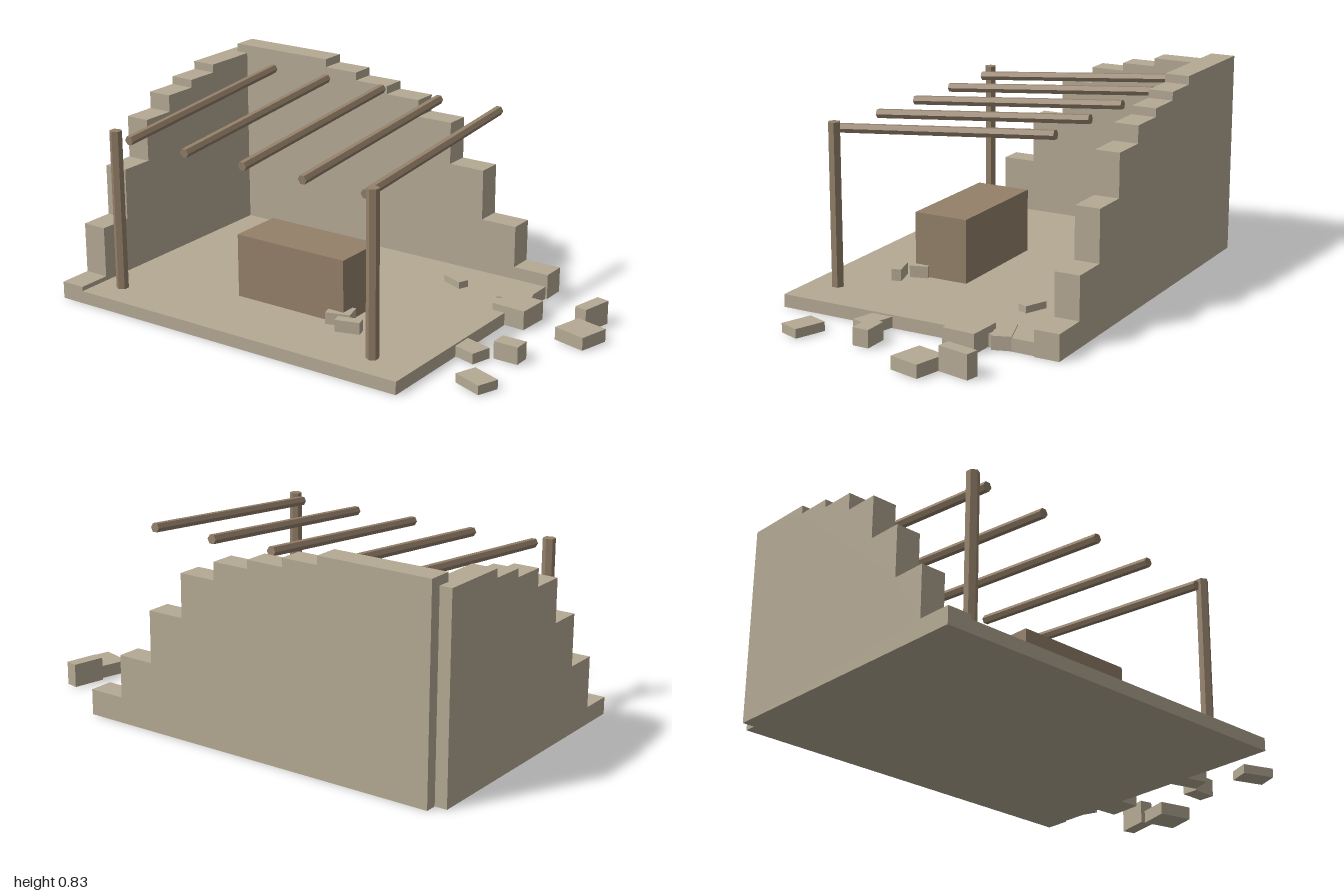
import * as THREE from 'three';

const stone = new THREE.MeshStandardMaterial({ color: 0xb5a994, flatShading: true });
stone.name = 'sandstone';
const wood = new THREE.MeshStandardMaterial({ color: 0x94806a, flatShading: true });
wood.name = 'weatheredWood';

// Extruded wall with a crumbling, stepped top; steps are [start, height] pairs
function steppedWall(name, steps, end, thickness) {
  const shape = new THREE.Shape();
  shape.moveTo(steps[0][0], 0);
  steps.forEach(([start, height], i) => {
    shape.lineTo(start, height);
    shape.lineTo(i + 1 < steps.length ? steps[i + 1][0] : end, height);
  });
  shape.lineTo(end, 0);
  const geometry = new THREE.ExtrudeGeometry(shape, { depth: thickness, bevelEnabled: false });
  const wall = new THREE.Mesh(geometry, stone);
  wall.name = name;
  return wall;
}

function box(name, material, [w, h, d], [x, bottom, z], turn = 0) {
  const mesh = new THREE.Mesh(new THREE.BoxGeometry(w, h, d), material);
  mesh.name = name;
  mesh.position.set(x, bottom + h / 2, z);
  mesh.rotation.y = turn;
  return mesh;
}

// Six-sided pole between two points
function pole(name, radius, from, to, thetaStart = 0) {
  const a = new THREE.Vector3(...from), b = new THREE.Vector3(...to);
  const dir = b.clone().sub(a);
  const geometry = new THREE.CylinderGeometry(radius, radius, dir.length(), 6, 1, false, thetaStart);
  const mesh = new THREE.Mesh(geometry, wood);
  mesh.name = name;
  mesh.position.copy(a).add(b).multiplyScalar(0.5);
  mesh.quaternion.setFromUnitVectors(new THREE.Vector3(0, 1, 0), dir.normalize());
  return mesh;
}

export function createModel() {
  const model = new THREE.Group();
  model.name = 'ruinedShelter';

  // Floor slab
  model.add(box('floor', stone, [1.55, 0.052, 1.19], [-0.175, 0, 0.003]));

  // Back wall, falling away towards +x
  const backWall = steppedWall('backWall', [
    [-0.95, 0.832], [-0.48, 0.798], [-0.327, 0.764], [-0.172, 0.73],
    [-0.017, 0.66], [0.14, 0.486], [0.297, 0.277], [0.453, 0.104],
  ], 0.608, 0.102);
  backWall.position.z = -0.598;
  model.add(backWall);

  // Side wall, falling away towards the front
  const sideWall = steppedWall('sideWall', [
    [-0.55, 0.797], [-0.26, 0.763], [-0.115, 0.73], [0.03, 0.66],
    [0.173, 0.486], [0.315, 0.277], [0.457, 0.07],
  ], 0.598, 0.102);
  sideWall.rotation.y = -Math.PI / 2;
  sideWall.position.x = -0.898;
  model.add(sideWall);

  // Counter block
  model.add(box('counter', wood, [0.505, 0.26, 0.23], [-0.102, 0.052, 0.165]));

  // Front posts
  for (const x of [-0.795, 0.416]) {
    model.add(pole('post', 0.025, [x, 0.05, 0.474], [x, 0.71, 0.474]));
  }

  // Sloping roof beams
  for (const x of [-0.727, -0.45, -0.172, 0.105, 0.383]) {
    model.add(pole('roofBeam', 0.0195, [x, 0.679, 0.475], [x, 0.763, -0.459], Math.PI / 6));
  }

  // Fallen rubble: size, position of the base, turn
  const rubble = new THREE.Group();
  rubble.name = 'rubble';
  [
    [[0.1, 0.03, 0.045], [0.288, 0.05, -0.318], -0.4],
    [[0.14, 0.055, 0.075], [0.547, 0.002, -0.343], 0.33],
    [[0.145, 0.078, 0.138], [0.62, 0.002, -0.236], -0.06],
    [[0.053, 0.096, 0.135], [0.885, 0.002, -0.345], -0.21],
    [[0.14, 0.052, 0.13], [0.914, 0.002, -0.2], -0.25],
    [[0.102, 0.07, 0.067], [0.778, 0.002, 0.097], 0],
    [[0.12, 0.043, 0.085], [0.645, 0.002, 0.163], -0.28],
    [[0.13, 0.037, 0.09], [0.798, 0.002, 0.37], -0.36],
    [[0.1, 0.05, 0.075], [0.128, 0.05, 0.265], 0.28],
    [[0.1, 0.05, 0.04], [0.205, 0.05, 0.322], 0.28],
  ].forEach(([size, base, turn]) => rubble.add(box('fallenBlock', stone, size, base, turn)));
  model.add(rubble);

  return model;
}
